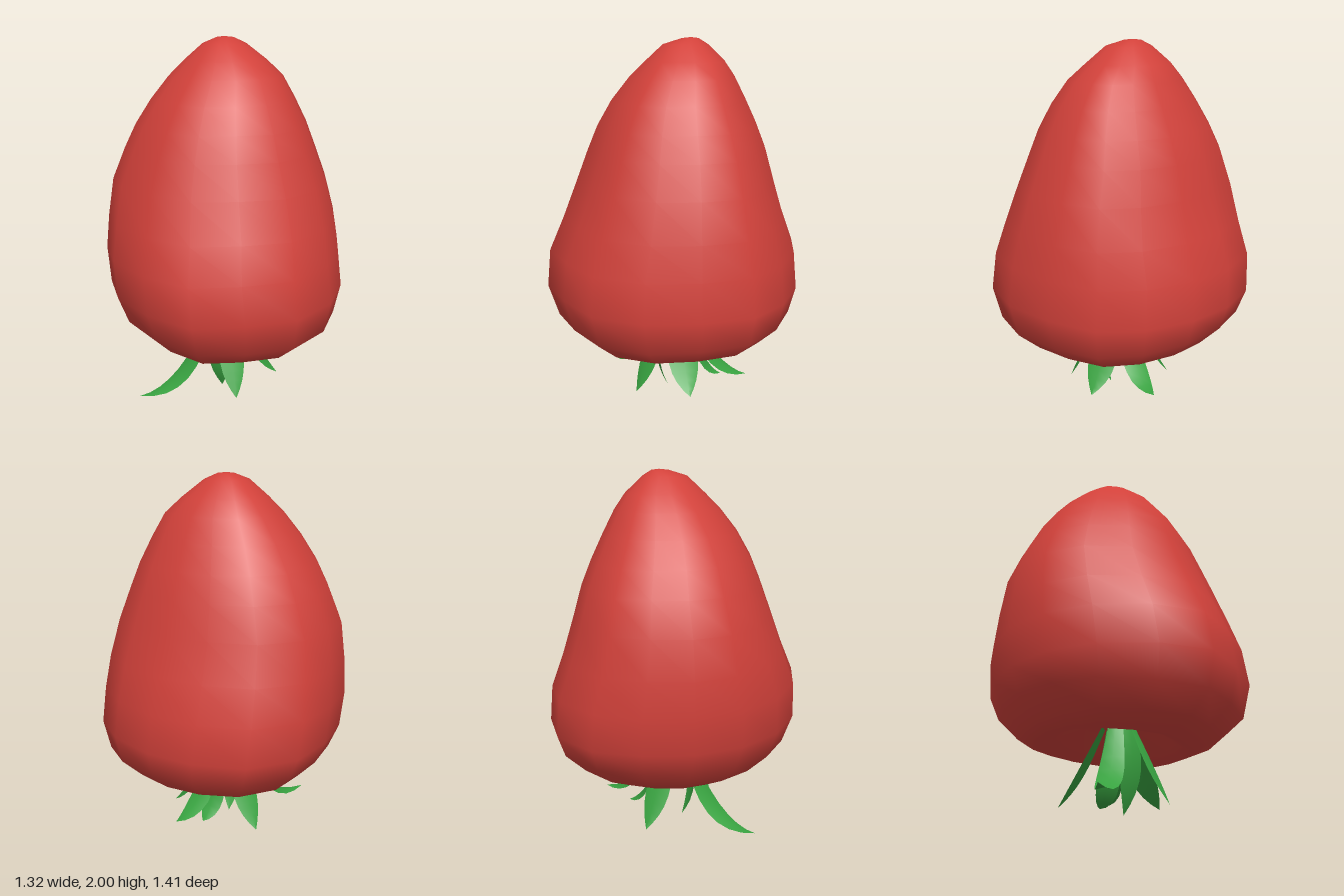
import * as THREE from 'three';

const red = new THREE.MeshStandardMaterial({ color: 0xd2413a });
red.name = 'berryRed';
const green = new THREE.MeshStandardMaterial({ color: 0x38a240, side: THREE.DoubleSide });
green.name = 'leafGreen';

// Irregular sixteen-sided plan of the berry, as [x, z]
const PLAN = [
  [0, -0.705], [0.25, -0.64], [0.48, -0.5], [0.63, -0.31], [0.66, -0.04], [0.63, 0.24], [0.49, 0.49], [0.25, 0.62],
  [0, 0.705], [-0.26, 0.61], [-0.49, 0.43], [-0.62, 0.2], [-0.66, -0.06], [-0.61, -0.31], [-0.5, -0.54], [-0.27, -0.69],
];

// Berry cross-sections from tip to dimple: [y, xMin, xMax, zMin, zMax]
const RINGS = [
  [1.995, -0.06, 0.03, -0.13, -0.04],
  [1.965, -0.13, 0.1, -0.18, 0.06],
  [1.88, -0.23, 0.21, -0.27, 0.155],
  [1.8, -0.31, 0.3, -0.325, 0.24],
  [1.68, -0.405, 0.37, -0.39, 0.335],
  [1.55, -0.49, 0.435, -0.455, 0.41],
  [1.42, -0.555, 0.485, -0.51, 0.465],
  [1.25, -0.625, 0.55, -0.56, 0.53],
  [1.05, -0.65, 0.605, -0.62, 0.61],
  [0.87, -0.66, 0.635, -0.685, 0.69],
  [0.67, -0.64, 0.66, -0.7, 0.71],
  [0.52, -0.585, 0.625, -0.66, 0.655],
  [0.41, -0.48, 0.51, -0.55, 0.53],
  [0.355, -0.39, 0.4, -0.41, 0.35],
  [0.39, -0.29, 0.3, -0.3, 0.27],
  [0.46, -0.17, 0.17, -0.17, 0.17],
  [0.49, -0.07, 0.07, -0.07, 0.07],
];

// Lofts the rings and closes both ends with a centre point
function berryGeometry() {
  const n = PLAN.length, pos = [], index = [];
  for (const [y, x0, x1, z0, z1] of RINGS) {
    for (const [px, pz] of PLAN) {
      const x = (x0 + x1) / 2 + (px / 0.66) * (x1 - x0) / 2;
      const z = (z0 + z1) / 2 + (pz / 0.705) * (z1 - z0) / 2;
      const tilt = y < 0.6 ? -0.03 * (x + z) : 0;
      pos.push(x, y + tilt, z);
    }
  }
  for (let i = 0; i < RINGS.length - 1; i++) {
    for (let j = 0; j < n; j++) {
      const a = i * n + j, b = i * n + (j + 1) % n;
      index.push(a, b, a + n, b, b + n, a + n);
    }
  }
  const top = RINGS.length * n, bottom = top + 1, last = top - n;
  pos.push(-0.02, 2.0, -0.09, 0, 0.495, 0);
  for (let j = 0; j < n; j++) {
    const k = (j + 1) % n;
    index.push(top, k, j, bottom, last + j, last + k);
  }
  return buildGeometry(pos, index);
}

// Pointed leaf swept along an arch from the dimple to its tip
function leafGeometry([tx, ty, tz], [bendRadius, bendY], width) {
  const reach = Math.hypot(tx, tz), dx = tx / reach, dz = tz / reach;
  const base = new THREE.Vector3(dx * 0.085, 0.47, dz * 0.085);
  const mid = new THREE.Vector3(dx * bendRadius, bendY, dz * bendRadius);
  const curve = new THREE.QuadraticBezierCurve3(base, mid, new THREE.Vector3(tx, ty, tz));
  const steps = 8, pos = [], index = [];
  for (let i = 0; i <= steps; i++) {
    const t = i / steps, p = curve.getPoint(t), tan = curve.getTangent(t);
    const w = width * Math.sin(Math.PI * (0.2 + 0.8 * t ** 1.2)) / 2;
    const fold = 0.2 * w, flat = Math.hypot(tan.x, tan.z);
    // Edges sit slightly inside the midrib
    for (const s of [-1, 0, 1]) {
      const drop = s === 0 ? 0 : fold;
      pos.push(p.x - dz * w * s + dx * tan.y * drop, p.y - flat * drop, p.z + dx * w * s + dz * tan.y * drop);
    }
  }
  for (let i = 0; i < steps; i++) {
    for (let k = 0; k < 2; k++) {
      const a = i * 3 + k;
      index.push(a, a + 1, a + 3, a + 1, a + 4, a + 3);
    }
  }
  return buildGeometry(pos, index);
}

function buildGeometry(pos, index) {
  const g = new THREE.BufferGeometry();
  g.setAttribute('position', new THREE.Float32BufferAttribute(pos, 3));
  g.setIndex(index);
  g.computeVertexNormals();
  return g;
}

// Each leaf: [tip, [radius, height] of the bend, width]
const LEAVES = [
  [[-0.4, 0.05, 0.36], [0.24, 0.0], 0.13],
  [[-0.22, 0.05, -0.22], [0.22, 0.2], 0.15],
  [[0.0, 0.0, 0.04], [0.16, 0.22], 0.14],
  [[0.13, 0.04, 0.24], [0.21, 0.2], 0.14],
  [[0.31, 0.08, -0.04], [0.2, 0.2], 0.17],
  [[0.2, 0.14, -0.38], [0.24, 0.12], 0.13],
  [[0.08, 0.09, -0.26], [0.16, 0.1], 0.13],
];

export function createModel() {
  const model = new THREE.Group();
  model.name = 'strawberry';

  const berry = new THREE.Mesh(berryGeometry(), red);
  berry.name = 'berry';
  model.add(berry);

  const calyx = new THREE.Group();
  calyx.name = 'calyx';
  LEAVES.forEach(([tip, bend, width], i) => {
    const leaf = new THREE.Mesh(leafGeometry(tip, bend, width), green);
    leaf.name = `leaf${i + 1}`;
    calyx.add(leaf);
  });
  model.add(calyx);
  return model;
}
